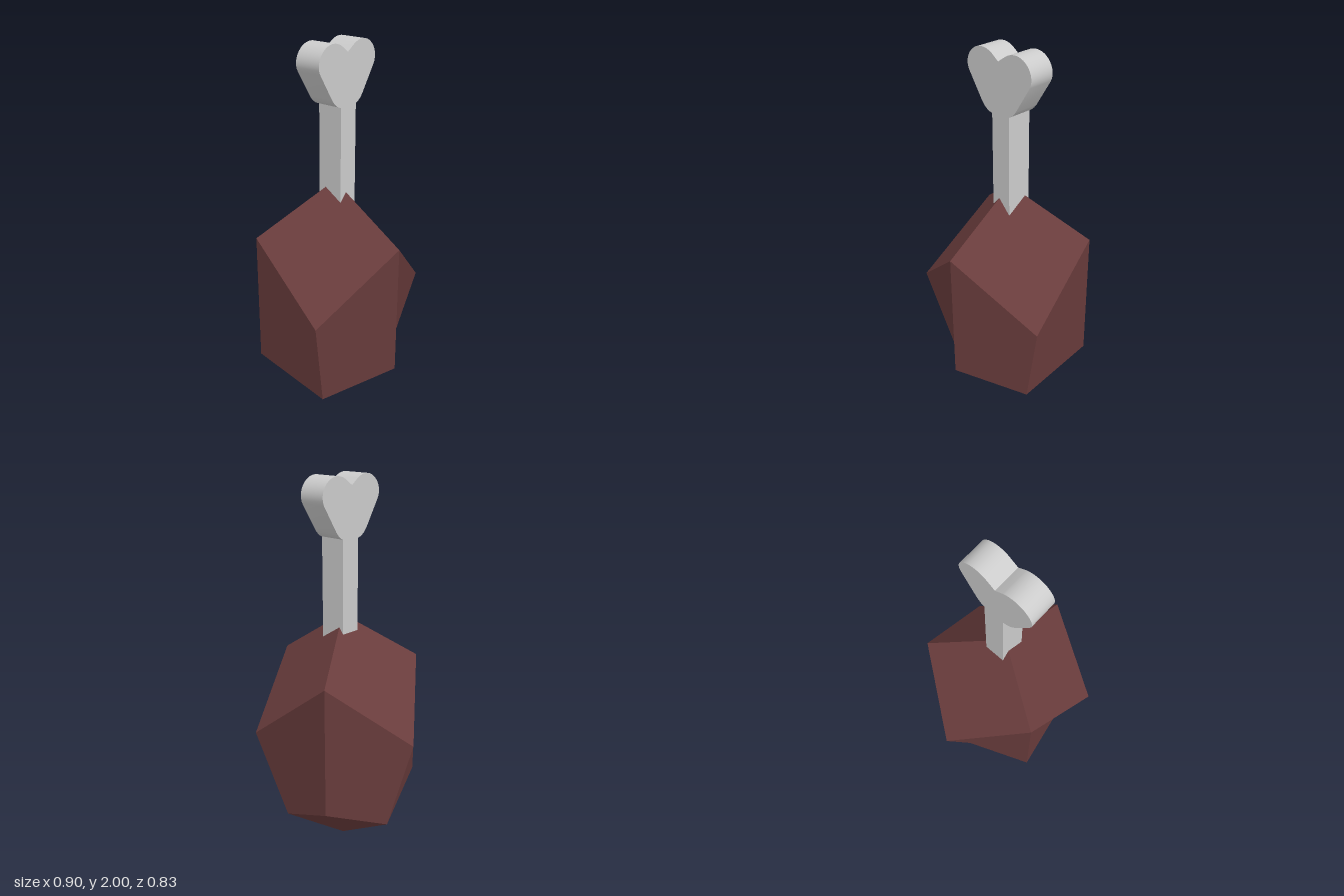
import * as THREE from 'three';
import { toCreasedNormals } from 'three/addons/utils/BufferGeometryUtils.js';

const AXIS_X = 0.03;

// Point on a ring around the body's vertical axis
function ringPoint([radius, y], degrees) {
  const a = THREE.MathUtils.degToRad(degrees);
  return new THREE.Vector3(AXIS_X + radius * Math.cos(a), y, radius * Math.sin(a));
}

// Faceted body: quads repeated three times around the axis, one normal per facet
function bodyGeometry() {
  const shoulder = [0.42, 1.03], waist = [0.48, 0.69];
  const hip = [0.42, 0.345], foot = [0.32, 0.175];
  const top = new THREE.Vector3(AXIS_X, 1.295, 0);
  const bottom = new THREE.Vector3(AXIS_X, 0, 0);
  const positions = [], normals = [];

  // Counter-clockwise quad, folded along b-d
  const quad = (a, b, c, d) => {
    const n = c.clone().sub(a).cross(d.clone().sub(b)).normalize();
    for (const p of [a, b, d, b, c, d]) {
      positions.push(p.x, p.y, p.z);
      normals.push(n.x, n.y, n.z);
    }
  };

  for (let t = 60; t < 420; t += 120) {
    const w = ringPoint(waist, t), f = ringPoint(foot, t);
    const sR = ringPoint(shoulder, t - 60), sL = ringPoint(shoulder, t + 60);
    const hR = ringPoint(hip, t - 60), hL = ringPoint(hip, t + 60);
    quad(top, sL, w, sR); // upper facet
    quad(w, f, hR, sR); // side facets
    quad(w, sL, hL, f);
    quad(hR, f, bottom, ringPoint(foot, t - 120)); // lower facet
  }

  const g = new THREE.BufferGeometry();
  g.setAttribute('position', new THREE.Float32BufferAttribute(positions, 3));
  g.setAttribute('normal', new THREE.Float32BufferAttribute(normals, 3));
  return g;
}

// Two-lobed outline extruded along x
function handleGeometry() {
  const s = new THREE.Shape();
  s.moveTo(0.003, 1.95);
  s.lineTo(-0.04, 1.982);
  s.bezierCurveTo(-0.07, 2.0, -0.11, 2.008, -0.15, 1.987);
  s.bezierCurveTo(-0.195, 1.96, -0.215, 1.91, -0.19, 1.868);
  s.lineTo(-0.11, 1.74);
  s.quadraticCurveTo(-0.08, 1.695, -0.04, 1.69);
  s.lineTo(0.07, 1.695);
  s.quadraticCurveTo(0.095, 1.705, 0.117, 1.737);
  s.lineTo(0.2, 1.868);
  s.bezierCurveTo(0.222, 1.91, 0.205, 1.96, 0.16, 1.987);
  s.bezierCurveTo(0.12, 2.008, 0.08, 2.0, 0.05, 1.982);
  s.closePath();
  const g = new THREE.ExtrudeGeometry(s, { depth: 0.143, bevelEnabled: false, curveSegments: 12 });
  g.rotateY(Math.PI / 2);
  g.translate(-0.036, 0, 0);
  return toCreasedNormals(g, 0.5);
}

export function createModel() {
  const group = new THREE.Group();
  const brown = new THREE.MeshStandardMaterial({ color: 0x6b3d3d });
  const grey = new THREE.MeshStandardMaterial({ color: 0xcccccc });

  const add = (name, geometry, material) => {
    const mesh = new THREE.Mesh(geometry, material);
    mesh.name = name;
    group.add(mesh);
    return mesh;
  };

  add('body', bodyGeometry(), brown);
  // Square stem sunk into the body and meeting the handle
  add('stem', new THREE.BoxGeometry(0.141, 0.62, 0.111), grey).position.set(0.0345, 1.41, -0.0135);
  add('handle', handleGeometry(), grey);
  return group;
}
